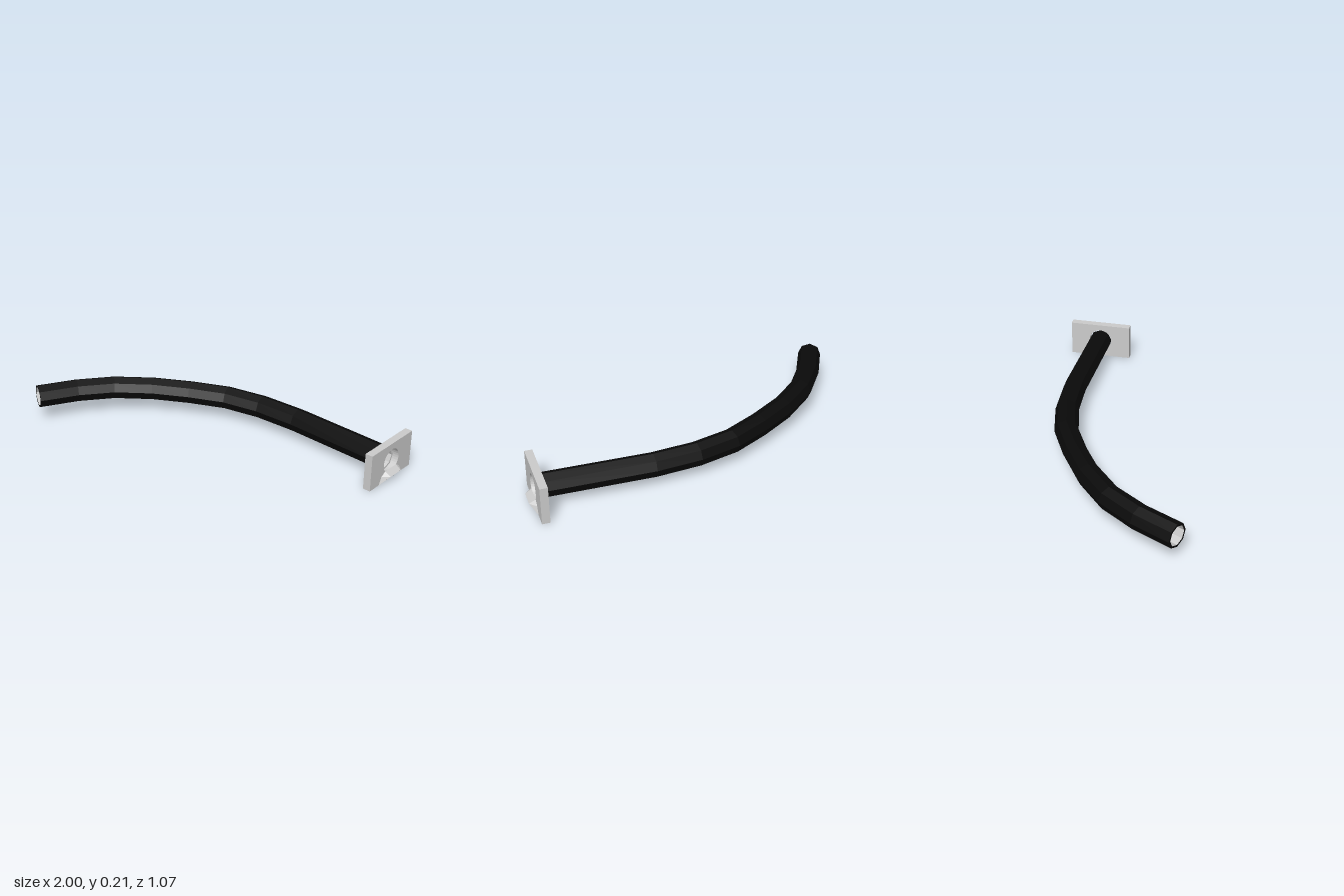
import * as THREE from 'three';
import { ConvexGeometry } from 'three/addons/geometries/ConvexGeometry.js';

const SIDES = 8;
const OUTER = 0.065, INNER = 0.054;

// Centre line of the pipe, from the free end to the plate
const PATH = [
  [-0.977, 0.142, -0.38], [-0.763, 0.139, -0.444], [-0.55, 0.135, -0.474],
  [-0.327, 0.13, -0.452], [-0.115, 0.125, -0.397], [0.088, 0.12, -0.325],
  [0.272, 0.115, -0.207], [0.45, 0.11, -0.046], [0.845, 0.104, 0.388],
].map((p) => new THREE.Vector3(...p));

// Octagonal ring of a given radius, square to the path at point i
function ring(i, radius) {
  const before = PATH[Math.max(i - 1, 0)], after = PATH[Math.min(i + 1, PATH.length - 1)];
  const dirIn = PATH[i].clone().sub(before).normalize();
  const dirOut = after.clone().sub(PATH[i]).normalize();
  const tangent = dirIn.add(dirOut).normalize();
  const side = new THREE.Vector3(0, 1, 0).cross(tangent).normalize();
  const up = tangent.clone().cross(side);
  return Array.from({ length: SIDES }, (_, k) => {
    const a = (k / SIDES) * Math.PI * 2;
    return PATH[i].clone()
      .addScaledVector(side, Math.cos(a) * radius)
      .addScaledVector(up, Math.sin(a) * radius);
  });
}

// Skin a list of rings
function loft(rings) {
  const index = [];
  for (let i = 0; i < rings.length - 1; i++) {
    for (let k = 0; k < SIDES; k++) {
      const n = (k + 1) % SIDES;
      const a = i * SIDES + k, b = i * SIDES + n;
      const d = a + SIDES, c = b + SIDES;
      index.push(a, b, c, a, c, d);
    }
  }
  const geometry = new THREE.BufferGeometry().setFromPoints(rings.flat());
  geometry.setIndex(index);
  geometry.computeVertexNormals();
  return geometry;
}

export function createModel() {
  const model = new THREE.Group();
  const black = new THREE.MeshStandardMaterial({ color: 0x0a0a0a, flatShading: true });
  const grey = new THREE.MeshStandardMaterial({ color: 0xcccccc, flatShading: true });
  const add = (parent, name, geometry, material) => {
    const mesh = new THREE.Mesh(geometry, material);
    mesh.name = name;
    parent.add(mesh);
    return mesh;
  };

  // Black pipe skin with its end rim, and the grey bore inside
  const last = PATH.length - 1;
  const outer = PATH.map((_, i) => ring(i, OUTER));
  const inner = PATH.map((_, i) => ring(i, INNER));
  add(model, 'pipe', loft([inner[0], ...outer]), black);
  add(model, 'pipeBore', loft([outer[last], ...inner.reverse()]), grey);

  // Wall plate with a round outlet, facing along the pipe's end
  const outlet = new THREE.Group();
  outlet.name = 'outlet';
  outlet.position.set(0.87, 0, 0.4115);
  outlet.rotation.y = 0.76;
  model.add(outlet);

  const width = 0.358, height = 0.205, depth = 0.042;
  const outline = new THREE.Shape([
    new THREE.Vector2(-width / 2, 0), new THREE.Vector2(width / 2, 0),
    new THREE.Vector2(width / 2, height), new THREE.Vector2(-width / 2, height),
  ]);
  outline.holes.push(new THREE.Path().absarc(0, 0.104, 0.067, 0, Math.PI * 2, true));
  const plate = new THREE.ExtrudeGeometry(outline, { depth, bevelEnabled: false, curveSegments: 16 });
  plate.translate(0, 0, -depth);
  add(outlet, 'plate', plate, grey);

  // Pouring lip below the hole: half width, height, reach
  const lip = [[0.05, 0.06, 0], [0.081, 0.04, 0], [0.046, 0.04, 0.034], [0.1, 0, 0]]
    .flatMap(([x, y, z]) => [new THREE.Vector3(x, y, z), new THREE.Vector3(-x, y, z)]);
  add(outlet, 'lip', new ConvexGeometry(lip), grey);

  return model;
}
